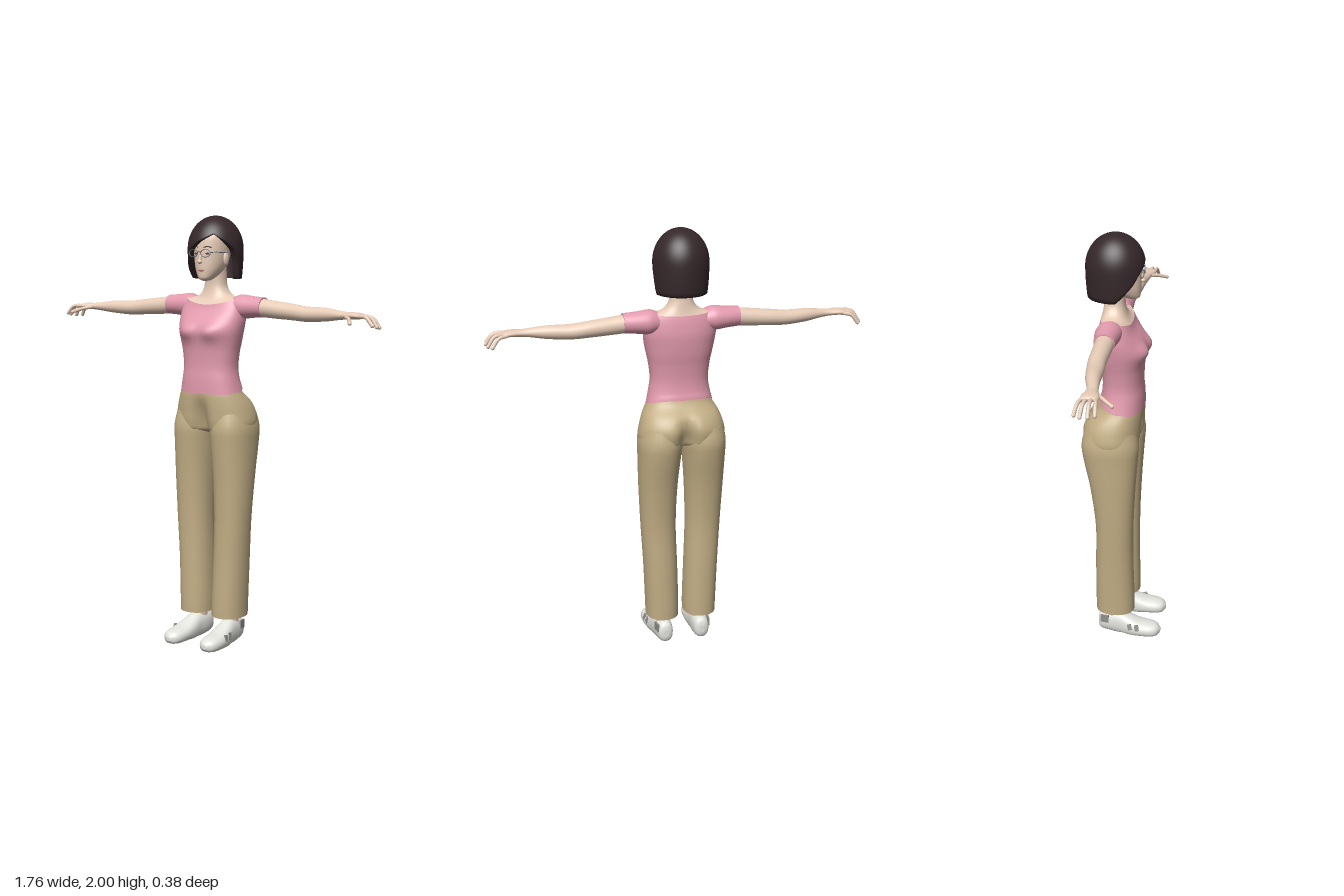
import * as THREE from 'three';

const { clamp, smoothstep, lerp } = THREE.MathUtils;
const paint = (name, color, side = THREE.FrontSide) => {
  const m = new THREE.MeshStandardMaterial({ color, side });
  m.name = name;
  return m;
};

// Grid of points: rows run along the part, columns wrap around it; ends may be capped.
function grid(rows, cols, point, cap) {
  const pos = [], idx = [];
  for (let i = 0; i <= rows; i++)
    for (let j = 0; j < cols; j++) pos.push(...point(i, j).toArray());
  for (let i = 0; i < rows; i++)
    for (let j = 0; j < cols; j++) {
      const k = (j + 1) % cols, a = i * cols, b = a + cols;
      idx.push(a + j, a + k, b + k, a + j, b + k, b + j);
    }
  if (cap) for (const i of [0, rows]) {
    const base = pos.length / 3, centre = new THREE.Vector3();
    for (let j = 0; j < cols; j++) {
      const p = point(i, j);
      centre.addScaledVector(p, 1 / cols);
      pos.push(...p.toArray());
    }
    pos.push(...centre.toArray());
    for (let j = 0; j < cols; j++) {
      const k = (j + 1) % cols;
      if (i) idx.push(base + cols, base + j, base + k);
      else idx.push(base + cols, base + k, base + j);
    }
  }
  const g = new THREE.BufferGeometry();
  g.setAttribute('position', new THREE.Float32BufferAttribute(pos, 3));
  g.setIndex(idx);
  g.computeVertexNormals();
  return g;
}

// Smooth loft through keys [t, centreU, radiusU, centreV, radiusV] along an axis.
const AXES = { x: ['x', 'y', 'z'], y: ['y', 'z', 'x'], z: ['z', 'x', 'y'] };
function loft(axis, keys, { cols = 28, power = 2, deform = null, cap = true, sub = 4 } = {}) {
  const [T, U, V] = AXES[axis], last = keys.length - 1;
  const sample = (i) => {
    const s = Math.min(Math.floor(i / sub), last - 1), f = i / sub - s;
    const k = (n) => keys[clamp(n, 0, last)];
    return keys[0].map((_, c) => {
      const a = k(s - 1)[c], b = k(s)[c], d = k(s + 1)[c], e = k(s + 2)[c];
      return b + 0.5 * f * (d - a + f * (2 * a - 5 * b + 4 * d - e + f * (3 * (b - d) + e - a)));
    });
  };
  const round = (v) => Math.sign(v) * Math.abs(v) ** (2 / power);
  return grid(last * sub, cols, (i, j) => {
    const [t, cu, ru, cv, rv] = sample(i), a = (j / cols) * Math.PI * 2;
    const p = new THREE.Vector3();
    p[T] = t;
    p[U] = cu + ru * round(Math.cos(a));
    p[V] = cv + rv * round(Math.sin(a));
    if (deform) deform(p, t);
    return p;
  }, cap);
}
// Turns [y, halfWidth, front z, back z] into a loft key.
const section = ([y, w, f, b]) => [y, (f + b) / 2, (f - b) / 2, 0, w];

function mirrored(geo) {
  const g = geo.clone().scale(-1, 1, 1), a = g.index.array;
  for (let i = 0; i < a.length; i += 3) [a[i], a[i + 1]] = [a[i + 1], a[i]];
  return g;
}
const ball = (x, y, z, rx, ry, rz) =>
  new THREE.SphereGeometry(1, 16, 12).scale(rx, ry, rz).translate(x, y, z);
const tube = (points, r, n = 10) => new THREE.TubeGeometry(
  new THREE.CatmullRomCurve3(points.map((p) => new THREE.Vector3(...p))), n, r, 8);

export function createModel() {
  const model = new THREE.Group();
  model.name = 'woman';
  const skin = paint('skin', 0xe8cdb8), pink = paint('pink shirt', 0xe39bae);
  const tan = paint('tan trousers', 0xc2ae85);
  const dark = paint('dark brown hair', 0x35272a, THREE.DoubleSide);
  const white = paint('shoe white', 0xe4e4df), grey = paint('shoe grey', 0x8f908e);
  const metal = paint('glasses metal', 0x6f7680), lip = paint('lip', 0xc58c80);
  const eyeDark = paint('eye brown', 0x4a3a34);

  const add = (name, geo, mat) => {
    const m = new THREE.Mesh(geo, mat);
    m.name = name;
    model.add(m);
  };
  const pair = (name, geo, mat) => {
    add('left ' + name, geo, mat);
    add('right ' + name, mirrored(geo), mat);
  };

  // Shirt body and neck meet at a scooped neckline
  const scoop = (p, t) => {
    const w = smoothstep(t, 1.5, 1.63) * (1 - smoothstep(t, 1.63, 1.69));
    const front = clamp((p.z + 0.03) / 0.08, -1, 1) / 2 + 0.5;
    p.y -= w * lerp(0.012, 0.035, front) * Math.max(0, 1 - (p.x / 0.16) ** 2);
  };
  const shirtShape = (p, t) => {
    if (p.z > 0) {
      const bust = Math.exp(-(((Math.abs(p.x) - 0.065) / 0.05) ** 2) - ((t - 1.475) / 0.04) ** 2);
      p.z += 0.024 * bust;
    }
    p.y += 0.035 * (1 - smoothstep(t, 1.19, 1.27)) * clamp(-p.z / 0.1, 0, 1);
    scoop(p, t);
  };
  add('shirt body', loft('y', [
    [1.19, 0.155, 0.096, -0.107], [1.25, 0.143, 0.095, -0.1], [1.31, 0.135, 0.09, -0.095],
    [1.38, 0.142, 0.092, -0.1], [1.43, 0.152, 0.097, -0.108], [1.48, 0.162, 0.1, -0.113],
    [1.53, 0.168, 0.083, -0.115], [1.58, 0.165, 0.06, -0.11], [1.61, 0.156, 0.047, -0.105],
    [1.63, 0.145, 0.04, -0.1],
  ].map(section), { cols: 48, power: 2.3, deform: shirtShape }), pink);
  add('neck', loft('y', [
    [1.63, 0.145, 0.04, -0.1], [1.648, 0.09, 0.02, -0.095], [1.67, 0.06, 0.008, -0.09],
    [1.7, 0.051, 0.005, -0.086], [1.77, 0.05, 0.01, -0.085],
  ].map(section), { cols: 48, power: 2.3, deform: scoop }), skin);

  // Sleeves, arms and hands
  pair('sleeve', loft('x', [
    [0.09, 1.585, 0.035, -0.04, 0.045], [0.13, 1.588, 0.052, -0.042, 0.056],
    [0.16, 1.588, 0.055, -0.045, 0.058], [0.21, 1.588, 0.049, -0.045, 0.053],
    [0.268, 1.588, 0.045, -0.042, 0.046],
  ]), pink);
  pair('arm', loft('x', [
    [0.24, 1.587, 0.042, -0.042, 0.043], [0.32, 1.58, 0.04, -0.042, 0.041],
    [0.42, 1.572, 0.037, -0.043, 0.039], [0.5, 1.565, 0.034, -0.037, 0.038],
    [0.6, 1.567, 0.03, -0.027, 0.032], [0.68, 1.567, 0.02, -0.012, 0.025],
    [0.72, 1.567, 0.016, -0.008, 0.026], [0.76, 1.568, 0.015, -0.006, 0.036],
    [0.79, 1.567, 0.012, -0.006, 0.038], [0.8, 1.567, 0.005, -0.006, 0.03],
  ], { cols: 24 }), skin);
  const fingers = [
    ['index finger', [0.78, 1.567, 0.022], [0.83, 1.564, 0.027], [0.864, 1.53, 0.031]],
    ['middle finger', [0.78, 1.567, 0.003], [0.838, 1.564, 0.003], [0.87, 1.524, 0.003]],
    ['ring finger', [0.78, 1.566, -0.016], [0.834, 1.56, -0.024], [0.864, 1.52, -0.03]],
    ['little finger', [0.775, 1.565, -0.034], [0.82, 1.556, -0.048], [0.848, 1.52, -0.057]],
    ['thumb', [0.72, 1.564, 0.008], [0.758, 1.555, 0.045], [0.786, 1.54, 0.085]],
  ];
  for (const [name, ...path] of fingers) {
    pair(name, tube(path, 0.0085), skin);
    pair(name + ' tip', ball(...path[2], 0.0085, 0.0085, 0.0085), skin);
  }

  // Trousers: hips with a centre cleft, then a leg on each side
  const cleft = (p, t) => {
    const low = 1 - smoothstep(t, 1.03, 1.18);
    p.z -= (p.z + 0.04) * (0.12 + 0.3 * low) * Math.exp(-((p.x / 0.035) ** 2)) * (1 - smoothstep(t, 1.12, 1.22));
  };
  add('trouser hips', loft('y', [
    [1.0, 0.12, 0.03, -0.11], [1.015, 0.185, 0.075, -0.165], [1.05, 0.203, 0.088, -0.181],
    [1.1, 0.196, 0.092, -0.184], [1.15, 0.179, 0.094, -0.158], [1.2, 0.152, 0.092, -0.103],
    [1.26, 0.125, 0.075, -0.08],
  ].map(section), { cols: 56, power: 2.3, deform: cleft }), tan);
  pair('trouser leg', loft('y', [
    [0.128, 0.17, 0.065, -0.12], [0.2, 0.172, 0.065, -0.121], [0.4, 0.18, 0.06, -0.12],
    [0.6, 0.191, 0.061, -0.117], [0.8, 0.2, 0.07, -0.14], [0.95, 0.204, 0.081, -0.171],
    [1.03, 0.205, 0.085, -0.181], [1.1, 0.19, 0.07, -0.165],
  ].map(([y, outer, f, b], i) => {
    const inner = [0.014, 0.014, 0.02, 0.026, 0.02, 0.008, 0.001, 0.01][i];
    return [y, (f + b) / 2, (f - b) / 2, (outer + inner) / 2, (outer - inner) / 2];
  }), { power: 2.2 }), tan);

  // Ankles and shoes
  pair('ankle', loft('y', [
    [0.06, -0.045, 0.036, 0.092, 0.034], [0.17, -0.035, 0.036, 0.092, 0.034],
  ]), skin);
  pair('shoe', loft('z', [
    [-0.112, 0.09, 0.012, 0.05, 0.02], [-0.1, 0.09, 0.034, 0.052, 0.048],
    [-0.05, 0.092, 0.042, 0.052, 0.06], [0, 0.096, 0.044, 0.048, 0.062],
    [0.05, 0.1, 0.05, 0.036, 0.052], [0.1, 0.104, 0.054, 0.03, 0.039],
    [0.15, 0.105, 0.05, 0.027, 0.034], [0.18, 0.105, 0.036, 0.025, 0.027],
    [0.196, 0.105, 0.01, 0.024, 0.01],
  ], { power: 2.3, deform: (p) => { p.y = Math.max(p.y, 0); } }), white);
  for (const [z, x] of [[0.05, 0.147], [0.085, 0.151]])
    pair('shoe stripe', new THREE.BoxGeometry(0.008, 0.03, 0.02)
      .rotateZ(0.25).rotateX(-0.25).translate(x, 0.05, z), grey);
  pair('heel patch', new THREE.BoxGeometry(0.008, 0.04, 0.04)
    .rotateY(0.15).translate(0.129, 0.075, -0.077), grey);

  // Head and face
  add('head', loft('y', [
    [1.705, 0.037, 0.018, 0, 0.014], [1.715, 0.034, 0.037, 0, 0.032], [1.74, 0.015, 0.06, 0, 0.052],
    [1.77, 0, 0.077, 0, 0.066], [1.81, -0.01, 0.087, 0, 0.075], [1.86, -0.016, 0.092, 0, 0.08],
    [1.91, -0.03, 0.098, 0, 0.08], [1.96, -0.04, 0.07, 0, 0.055],
  ], { cols: 32, power: 2.15 }), skin);
  add('nose bridge', tube([[0, 1.835, 0.073], [0, 1.812, 0.08], [0, 1.795, 0.086]], 0.007), skin);
  add('nose tip', ball(0, 1.792, 0.085, 0.012, 0.01, 0.011), skin);
  add('lips', ball(0, 1.753, 0.073, 0.018, 0.006, 0.006), lip);
  pair('ear', ball(0.081, 1.805, -0.008, 0.01, 0.032, 0.018), skin);
  pair('eye', ball(0.031, 1.828, 0.069, 0.011, 0.005, 0.005), eyeDark);
  pair('eyebrow', tube([[0.015, 1.856, 0.074], [0.033, 1.86, 0.07], [0.05, 1.855, 0.06]], 0.0025), eyeDark);

  // Glasses
  pair('glasses rim', new THREE.TorusGeometry(0.024, 0.0022, 6, 28)
    .scale(1.05, 0.72, 1).rotateY(0.12).translate(0.034, 1.83, 0.087), metal);
  add('glasses bridge', tube([[-0.01, 1.834, 0.09], [0, 1.837, 0.093], [0.01, 1.834, 0.09]], 0.0022), metal);
  pair('glasses temple', tube([[0.058, 1.834, 0.084], [0.078, 1.834, 0.045], [0.085, 1.832, -0.01]], 0.0022), metal);

  // Bobbed hair: the lower edge follows [degrees from the front, height]
  const edge = [[-180, 1.713], [-82, 1.713], [-68, 1.745], [-48, 1.79], [-30, 1.84], [0, 1.882],
    [33, 1.915], [55, 1.885], [78, 1.845], [88, 1.8], [98, 1.713], [180, 1.713]];
  const edgeAt = (d) => {
    const i = Math.max(1, edge.findIndex((e) => e[0] >= d)), [a, b] = [edge[i - 1], edge[i]];
    return lerp(a[1], b[1], (d - a[0]) / (b[0] - a[0]));
  };
  const rows = 24, cols = 90;
  add('hair', grid(rows, cols, (i, j) => {
    const deg = (j / cols) * 360 - 180, a = THREE.MathUtils.degToRad(deg), low = edgeAt(deg);
    // the first row tucks under to give the edge some thickness
    const v = i === 0 ? 0 : (i - 1) / (rows - 1);
    const y = low + (2 - low) * Math.sin((v * Math.PI) / 2);
    let r = y > 1.85 ? Math.sqrt(Math.max(0, 1 - ((y - 1.85) / 0.15) ** 2))
      : 1 - 0.06 * ((1.85 - y) / 0.135) ** 2;
    if (i === 0) r *= 0.76;
    return new THREE.Vector3(0.126 * r * Math.sin(a), y, -0.038 + 0.134 * r * Math.cos(a));
  }), dark);

  return model;
}
